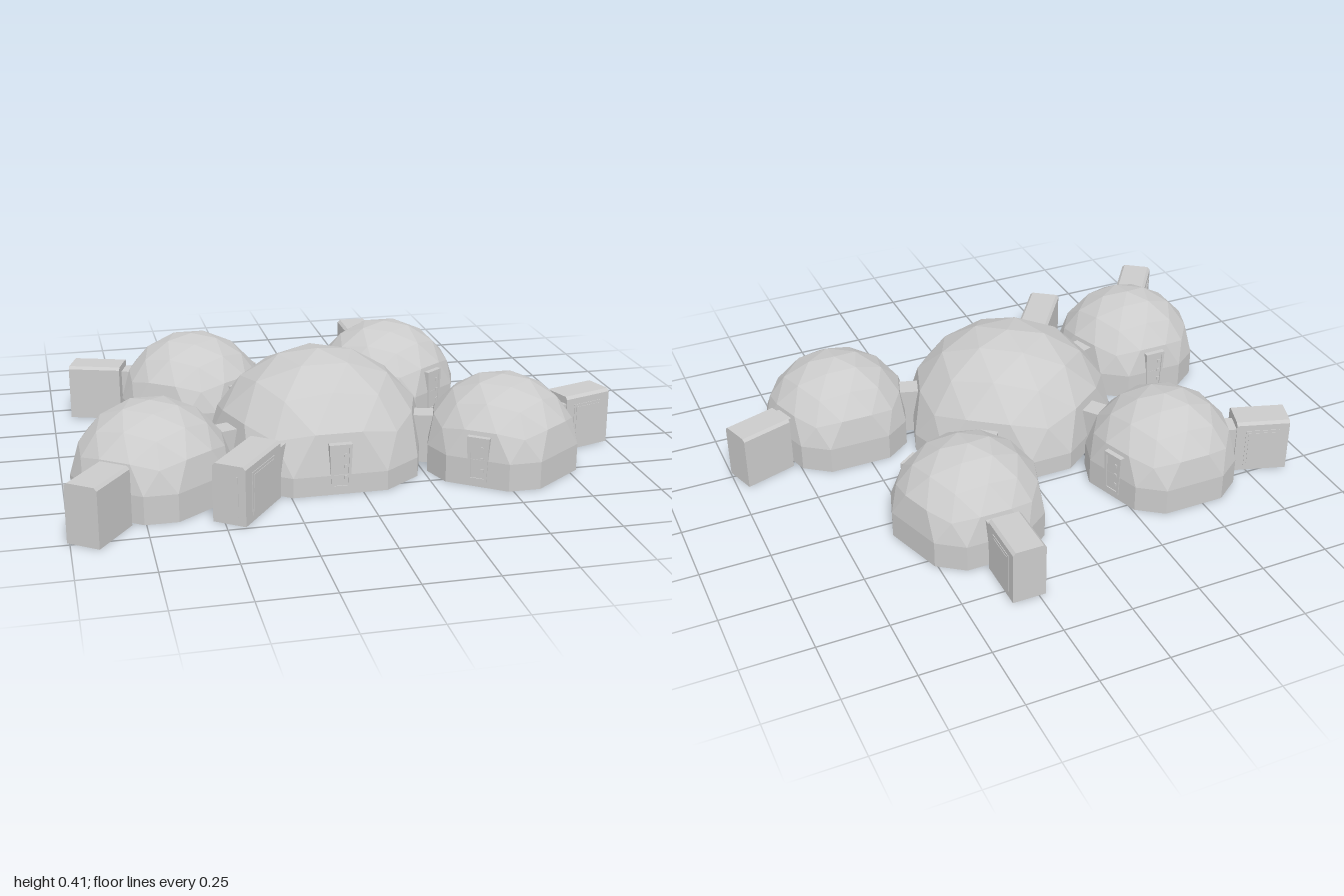
import * as THREE from 'three';

const mat = new THREE.MeshStandardMaterial({ color: 0xcccccc, flatShading: true });
const rad = THREE.MathUtils.degToRad;

// Point at azimuth a (degrees, from +z towards +x), radius r, height y
const polar = (a, r, y) => new THREE.Vector3(Math.sin(rad(a)) * r, y, Math.cos(rad(a)) * r);

function addMesh(parent, geometry, name, x = 0, y = 0, z = 0) {
  const mesh = new THREE.Mesh(geometry, mat);
  mesh.name = name;
  mesh.position.set(x, y, z);
  parent.add(mesh);
  return mesh;
}

// Geodesic dome (icosahedron split in three) on a ten-sided wall with five wide door faces
function domeGeometry(R, lift) {
  const out = [];
  const tri = (...pts) => pts.forEach((p) => out.push(p.x, p.y, p.z));
  const quad = (a, b, c, d) => { tri(a, b, c); tri(a, c, d); };
  const y0 = 1 / Math.sqrt(5), r0 = 2 / Math.sqrt(5);
  const top = new THREE.Vector3(0, 1, 0);
  const mix = (a, b, c, i, j, k) => new THREE.Vector3()
    .addScaledVector(a, i).addScaledVector(b, j).addScaledVector(c, k)
    .normalize().multiplyScalar(R).add(new THREE.Vector3(0, lift, 0));
  const down = (p) => new THREE.Vector3(p.x, 0, p.z);
  for (let s = 0; s < 5; s++) {
    const az = s * 72;
    const A = polar(az - 36, r0, y0), B = polar(az + 36, r0, y0);
    const C = polar(az, r0, -y0), D = polar(az + 72, r0, -y0);
    // cap: nine triangles per sector
    const P = (row, col) => mix(top, A, B, 3 - row, row - col, col);
    for (let row = 0; row < 3; row++) {
      for (let col = 0; col <= row; col++) {
        tri(P(row, col), P(row + 1, col), P(row + 1, col + 1));
        if (col < row) tri(P(row, col), P(row + 1, col + 1), P(row, col + 1));
      }
    }
    // lower band with the wide flat face, then the upright wall and floor
    const e1 = mix(A, C, C, 2, 1, 0), e2 = mix(B, C, C, 2, 1, 0), e3 = mix(B, D, D, 2, 1, 0);
    tri(P(3, 0), e1, P(3, 1));
    quad(P(3, 1), e1, e2, P(3, 2));
    tri(P(3, 2), e2, P(3, 3));
    tri(P(3, 3), e2, e3);
    for (const [a, b] of [[e1, e2], [e2, e3]]) {
      quad(a, down(a), down(b), b);
      tri(new THREE.Vector3(), down(b), down(a));
    }
  }
  const g = new THREE.BufferGeometry();
  g.setAttribute('position', new THREE.Float32BufferAttribute(out, 3));
  g.computeVertexNormals();
  return g;
}

// Outline in x-y extruded along z from z0 to z1
function prism(points, z0, z1) {
  const shape = new THREE.Shape(points.map(([x, y]) => new THREE.Vector2(x, y)));
  return new THREE.ExtrudeGeometry(shape, { depth: z1 - z0, bevelEnabled: false }).translate(0, 0, z0);
}

const taper = (wBottom, wTop, y0, y1) =>
  [[-wBottom / 2, y0], [wBottom / 2, y0], [wTop / 2, y1], [-wTop / 2, y1]];

// Group turned so that its +z points along the given azimuth
function facing(parent, name, azimuth) {
  const g = new THREE.Group();
  g.name = name;
  g.rotation.y = rad(azimuth);
  parent.add(g);
  return g;
}

function addDoor(dome, azimuth, face) {
  const door = facing(dome, 'door', azimuth);
  const outline = taper(0.066, 0.08, 0.02, 0.18);
  const frame = new THREE.Shape(outline.map(([x, y]) => new THREE.Vector2(x, y)));
  const hole = taper(0.048, 0.06, 0.032, 0.168).reverse();
  frame.holes.push(new THREE.Path(hole.map(([x, y]) => new THREE.Vector2(x, y))));
  const g = new THREE.ExtrudeGeometry(frame, { depth: 0.04, bevelEnabled: false });
  addMesh(door, g, 'doorFrame', 0, 0, face - 0.036);
  addMesh(door, prism(outline, face - 0.04, face), 'doorPanel');
  for (let i = 0; i < 3; i++) {
    addMesh(door, new THREE.BoxGeometry(0.01, 0.012, 0.004), 'doorLatch', 0.016, 0.06 + i * 0.04, face + 0.002);
  }
}

// Box chamber with bevelled roof edges, a neck to the dome and a side hatch
function addAirlock(dome, azimuth, start, end, shift) {
  const lock = facing(dome, 'airlock', azimuth);
  addMesh(lock, prism(taper(0.066, 0.078, 0, 0.18), start - 0.08, start + 0.01), 'airlockNeck');
  const body = [[-0.06, 0], [0.06, 0], [0.06, 0.196], [0.05, 0.206], [-0.05, 0.206], [-0.06, 0.196]];
  addMesh(lock, prism(body, start, end), 'airlockChamber', shift, 0, 0);
  const side = shift - Math.sign(shift) * 0.06;
  const length = (end - start) * 0.64;
  const mid = (start + end) / 2;
  addMesh(lock, new THREE.BoxGeometry(0.004, 0.15, length), 'sideHatch', side, 0.097, mid);
  addMesh(lock, new THREE.BoxGeometry(0.007, 0.13, length - 0.02), 'hatchPanel', side, 0.097, mid);
}

export function createModel() {
  const model = new THREE.Group();
  model.name = 'domeHabitat';

  // Central dome
  const bigR = 0.408, smallR = 0.282, spacing = 0.652;
  const main = new THREE.Group();
  main.name = 'mainDome';
  main.position.set(-0.08, 0, 0.18);
  model.add(main);
  addMesh(main, domeGeometry(bigR, 0), 'mainShell');
  addDoor(main, 0, bigR * 0.898);
  addAirlock(main, -36, 0.402, 0.665, -0.02);
  addMesh(facing(main, 'endSeam', -36), new THREE.BoxGeometry(0.006, 0.14, 0.004),
    'seamStrip', 0.01, 0.1, 0.665);

  // Four satellite domes: position, airlock and door azimuths
  const satellites = [
    { at: 72, lock: 108, door: -36 },
    { at: -72, lock: -36, door: 180 },
    { at: 144, lock: 180, door: 36 },
    { at: -144, lock: -108, door: 108 },
  ];
  const shell = domeGeometry(smallR, 0.05).rotateY(Math.PI);
  for (const { at, lock, door } of satellites) {
    const dome = new THREE.Group();
    dome.name = 'satelliteDome';
    dome.position.copy(main.position).add(polar(at, spacing, 0));
    model.add(dome);
    addMesh(dome, shell, 'satelliteShell');
    addAirlock(dome, lock, 0.27, 0.467, 0.018);
    addDoor(dome, door, smallR * 0.898);
    // passage to the central dome
    addMesh(facing(main, 'passage', at), prism(taper(0.064, 0.078, 0, 0.18), 0.335, 0.43), 'passageTunnel');
  }
  return model;
}
